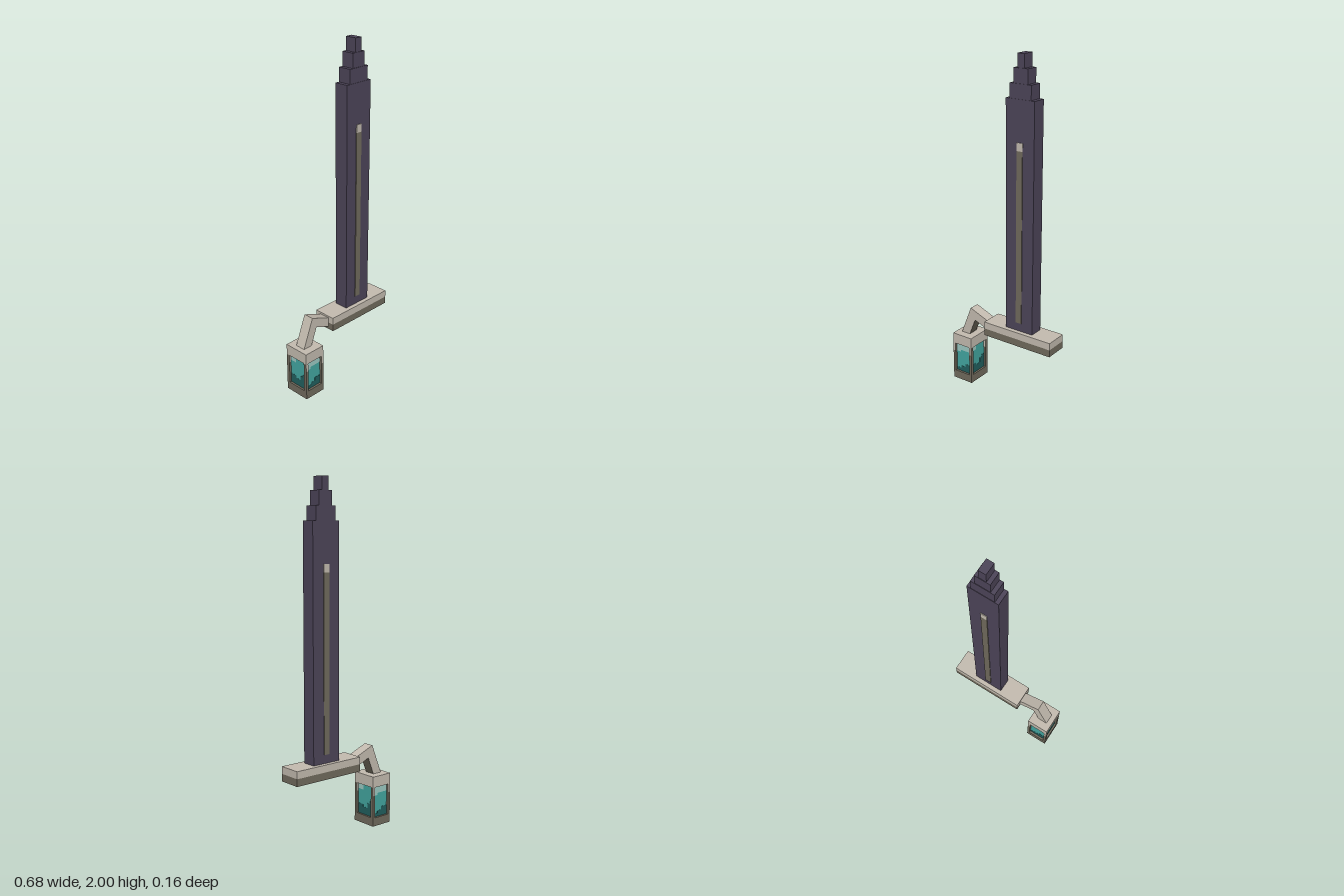
import * as THREE from 'three';

const mat = (name, color) => Object.assign(new THREE.MeshStandardMaterial({ color }), { name });

export function createModel() {
  const stone = mat('pale stone', 0xc4bcb0);
  const olive = mat('dark olive', 0x716b5d);
  const slate = mat('purple slate', 0x4d4559);
  const teal = mat('teal glass', 0x43a7a1);
  const deep = mat('deep teal glass', 0x21605f);
  const aqua = mat('pale aqua glass', 0x9ccac3);

  const model = new THREE.Group();
  // Box given by its limits; material may be an array for the six sides
  const box = (parent, name, material, x0, x1, y0, y1, z0, z1) => {
    const mesh = new THREE.Mesh(new THREE.BoxGeometry(x1 - x0, y1 - y0, z1 - z0), material);
    mesh.position.set((x0 + x1) / 2, (y0 + y1) / 2, (z0 + z1) / 2);
    mesh.name = name;
    parent.add(mesh);
    return mesh;
  };
  const group = (parent, name) => {
    const g = new THREE.Group();
    g.name = name;
    parent.add(g);
    return g;
  };

  // Stepped blade: half width, half depth, bottom, top
  const blade = group(model, 'blade');
  blade.position.x = 0.113;
  [
    [0.091, 0.042, 0.43, 1.765],
    [0.068, 0.040, 1.765, 1.845],
    [0.045, 0.0375, 1.845, 1.925],
    [0.022, 0.035, 1.925, 2.0],
  ].forEach(([w, d, y0, y1]) => box(blade, 'bladeStep', slate, -w, w, y0, y1, -d, d));

  // Inlaid strips on both faces of the blade
  for (const s of [-1, 1]) {
    const z0 = s > 0 ? 0.04 : -0.046, z1 = z0 + 0.006;
    box(blade, 'inlay', olive, -0.019, 0.019, 0.485, 1.49, z0, z1);
    box(blade, 'inlayTip', stone, -0.019, 0.019, 1.49, 1.535, z0, z1);
  }

  // Crossguard in two layers
  const guard = group(model, 'guard');
  box(guard, 'guardTop', stone, -0.115, 0.34, 0.393, 0.435, -0.068, 0.068);
  box(guard, 'guardBottom', olive, -0.115, 0.34, 0.35, 0.393, -0.068, 0.068);

  // Bent arm, dark on the inner sides (side order: +x, -x, +y, -y, +z, -z)
  const arm = group(model, 'arm');
  arm.position.set(-0.243, 0.475, 0);
  arm.rotation.z = -0.375;
  box(arm, 'armDrop', [olive, stone, stone, stone, stone, stone], 0, 0.055, -0.19, 0, -0.032, 0.032);
  box(arm, 'armReach', [stone, stone, stone, olive, stone, stone], 0.055, 0.16, -0.055, 0, -0.032, 0.032);

  // Lantern frame
  const lantern = group(model, 'lantern');
  lantern.position.x = -0.275;
  const W = 0.068, D = 0.08, post = 0.016;
  box(lantern, 'lanternCap', stone, -W, W, 0.235, 0.3, -D, D);
  box(lantern, 'lanternBase', olive, -W, W, 0, 0.05, -D, D);
  const postSides = [olive, olive, stone, olive, stone, stone];
  for (const sx of [-1, 1]) for (const sz of [-1, 1]) {
    const x0 = sx > 0 ? W - post : -W, z0 = sz > 0 ? D - 0.02 : -D;
    box(lantern, 'lanternPost', olive, x0, x0 + post, 0.05, 0.185, z0, z0 + 0.02);
    box(lantern, 'lanternPostTop', postSides, x0, x0 + post, 0.185, 0.235, z0, z0 + 0.02);
  }

  // Recessed glass with stepped bands of light and dark on each pane
  const gx = 0.055, gz = 0.066;
  box(lantern, 'glass', teal, -gx, gx, 0.05, 0.235, -gz, gz);
  const frontBands = [ // start, end (fractions of the width), bottom, top, colour
    [0, 0.3, 0.18, 0.235, aqua], [0.3, 1, 0.193, 0.235, aqua],
    [0, 0.3, 0.05, 0.07, deep], [0.3, 0.6, 0.05, 0.085, deep], [0.6, 1, 0.05, 0.105, deep],
  ];
  const sideBands = [
    [0, 0.35, 0.2, 0.235, aqua],
    [0, 0.35, 0.05, 0.11, deep], [0.35, 0.65, 0.05, 0.095, deep],
    [0.65, 0.8, 0.05, 0.125, deep], [0.8, 1, 0.05, 0.14, deep],
  ];
  for (let i = 0; i < 4; i++) {
    const pane = group(lantern, 'pane');
    pane.rotation.y = i * Math.PI / 2;
    const side = i % 2 === 1;
    const half = side ? 0.06 : 0.052, face = side ? gx : gz;
    (side ? sideBands : frontBands).forEach(([a, b, y0, y1, m]) =>
      box(pane, 'glassBand', m, (2 * a - 1) * half, (2 * b - 1) * half, y0, y1, face - 0.001, face + 0.001));
  }
  return model;
}
